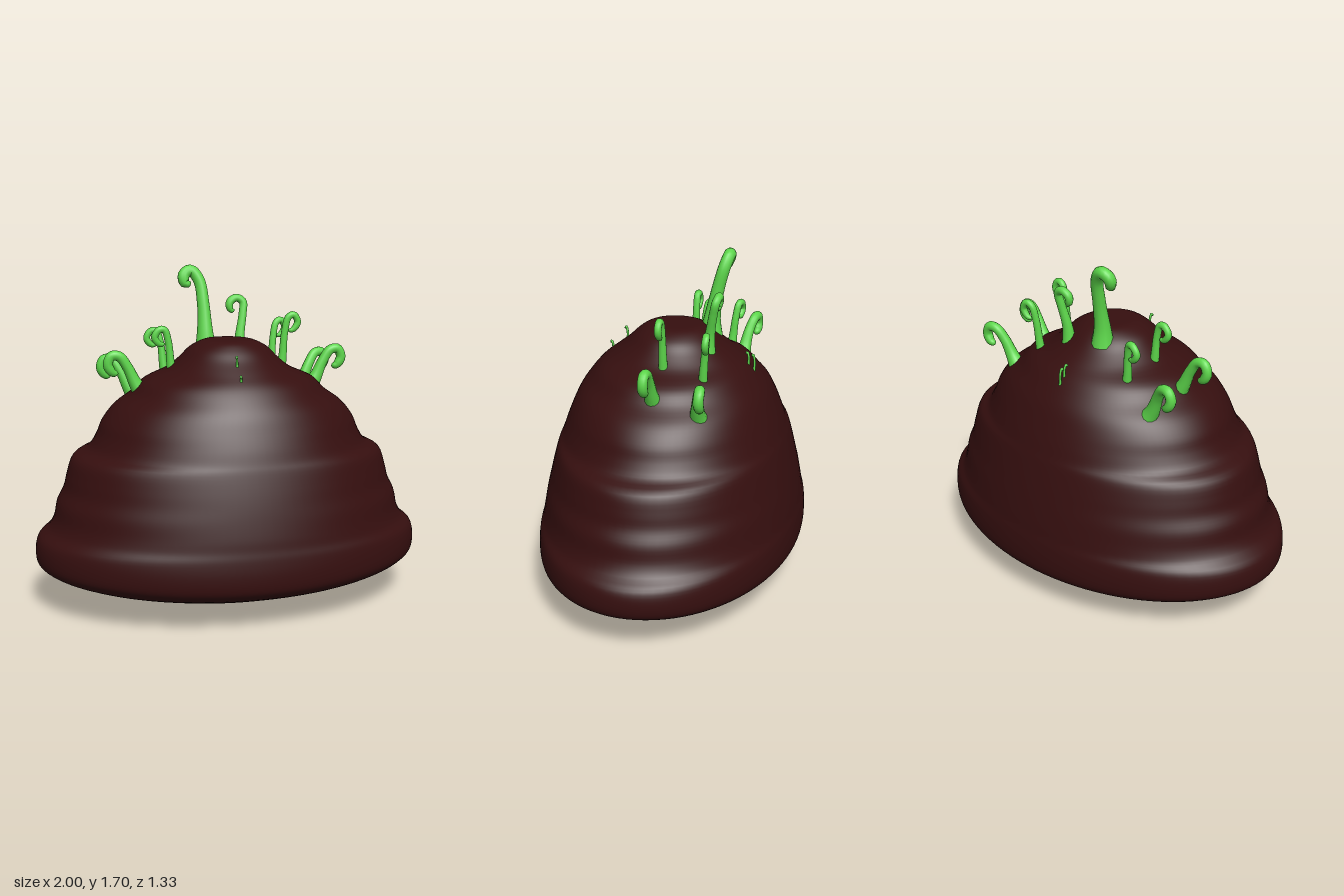
import * as THREE from 'three';
import { mergeVertices } from 'three/addons/utils/BufferGeometryUtils.js';

const skin = new THREE.MeshStandardMaterial({ color: 0x360f0f });
skin.name = 'dark maroon';
const green = new THREE.MeshStandardMaterial({ color: 0x5cd64a });
green.name = 'bright green';

// Elliptical mound: each row is [half width, height, half depth]
function makeBody() {
  const rows = [
    [0, 0, 0], [0.42, 0.045, 0.3], [0.69, 0.105, 0.48], [0.87, 0.16, 0.61],
    [0.95, 0.195, 0.65], [0.99, 0.23, 0.662], [1, 0.29, 0.665], [0.985, 0.36, 0.66],
    [0.93, 0.41, 0.652], [0.903, 0.46, 0.645], [0.885, 0.54, 0.63], [0.85, 0.61, 0.615],
    [0.832, 0.68, 0.598], [0.8, 0.765, 0.575], [0.72, 0.81, 0.56], [0.68, 0.87, 0.54],
    [0.65, 0.94, 0.512], [0.59, 1.015, 0.478], [0.5, 1.08, 0.435], [0.44, 1.14, 0.385],
    [0.32, 1.195, 0.318], [0.25, 1.25, 0.248], [0.2, 1.3, 0.195], [0.13, 1.335, 0.14],
    [0.07, 1.341, 0.075], [0, 1.342, 0],
  ];
  const pts = new THREE.CatmullRomCurve3(rows.map(r => new THREE.Vector3(...r)), false, 'centripetal').getPoints(110);
  const lathe = new THREE.LatheGeometry(pts.map(p => new THREE.Vector2(Math.max(p.x, 0), p.y)), 96);
  const pos = lathe.attributes.position;
  for (let i = 0; i < pos.count; i++) {
    const p = pts[i % pts.length];
    if (p.x > 1e-4) pos.setZ(i, pos.getZ(i) * p.z / p.x);
  }
  lathe.deleteAttribute('uv');
  lathe.deleteAttribute('normal');
  const geo = mergeVertices(lathe, 1e-5);
  geo.computeVertexNormals();
  return geo;
}

// Curled stalk: a tube with a flared root, an even stem and a rounded tip
function makeTendril(points, radius, flare) {
  const curve = new THREE.CatmullRomCurve3(points.map(p => new THREE.Vector3(...p)));
  const segs = 48, sides = 12;
  const geo = new THREE.TubeGeometry(curve, segs, 1, sides, false);
  const pos = geo.attributes.position;
  const v = new THREE.Vector3();
  for (let i = 0; i <= segs; i++) {
    const t = i / segs;
    const c = curve.getPointAt(t);
    const tip = Math.sqrt(Math.max(0, 1 - Math.pow(Math.max(0, (t - 0.85) / 0.15), 2)));
    const r = (radius + (flare - radius) * Math.pow(1 - t, 5)) * tip;
    for (let j = 0; j <= sides; j++) {
      const k = i * (sides + 1) + j;
      v.fromBufferAttribute(pos, k).sub(c).multiplyScalar(r).add(c);
      pos.setXYZ(k, v.x, v.y, v.z);
    }
  }
  geo.deleteAttribute('uv');
  geo.deleteAttribute('normal');
  const merged = mergeVertices(geo, 1e-5);
  merged.computeVertexNormals();
  return merged;
}

export function createModel() {
  const model = new THREE.Group();
  model.name = 'tendrilledMound';
  const add = (name, geo, mat) => {
    const mesh = new THREE.Mesh(geo, mat);
    mesh.name = name;
    model.add(mesh);
  };
  add('body', makeBody(), skin);

  // Two crown tendrils, both curling toward -x
  add('tallTendril', makeTendril([
    [-0.08, 1.27, -0.16], [-0.082, 1.36, -0.165], [-0.085, 1.5, -0.19], [-0.1, 1.62, -0.22],
    [-0.14, 1.672, -0.235], [-0.18, 1.65, -0.225], [-0.175, 1.605, -0.21], [-0.145, 1.615, -0.205],
  ], 0.031, 0.06), green);
  add('shortCrownTendril', makeTendril([
    [0.11, 1.22, -0.195], [0.115, 1.33, -0.205], [0.135, 1.44, -0.225], [0.14, 1.505, -0.24],
    [0.105, 1.525, -0.245], [0.068, 1.5, -0.24], [0.075, 1.46, -0.235], [0.095, 1.465, -0.235],
  ], 0.021, 0.042), green);

  // Side tendrils curl outward: two rows deep, mirrored left and right
  for (const s of [1, -1]) {
    const side = s > 0 ? 'left' : 'right';
    const inner = s > 0 ? 0 : -0.06;
    for (const [row, z, lean, drop] of [['Middle', -0.02, 0, 0], ['Rear', -0.215, -0.035, 0.05]]) {
      add(side + row + 'InnerTendril', makeTendril([
        [0.28, 1.12, 0], [0.295, 1.24, 0.2], [0.305, 1.36, 0.5], [0.325, 1.44, 0.8],
        [0.352, 1.452, 1], [0.375, 1.415, 1], [0.35, 1.375, 0.9], [0.32, 1.37, 0.8],
      ].map(([x, y, k]) => [s * x, y + inner * k - drop * (s > 0 ? 1 : 0.6), z + lean * k]), 0.018, 0.034), green);
    }
    for (const [row, z, lean, drop] of [['Middle', -0.02, 0, 0], ['Rear', -0.24, -0.045, 0.05]]) {
      add(side + row + 'OuterTendril', makeTendril([
        [0.43, 1.05, 0], [0.475, 1.125, 0.1], [0.515, 1.21, 0.4], [0.555, 1.265, 0.8],
        [0.595, 1.268, 1], [0.613, 1.225, 1], [0.59, 1.185, 1], [0.56, 1.18, 0.9],
      ].map(([x, y, k]) => [s * x, y - drop, z + lean * k]), 0.025, 0.055), green);
    }
  }

  // Tiny sprouts at the front and back of the crown
  for (const [y, z, h] of [[1.225, 0.265, 0.06], [1.15, 0.345, 0.05], [1.16, -0.37, 0.05], [1.13, -0.4, 0.07]]) {
    add('sprout', makeTendril([
      [-0.02, y - 0.02, z], [-0.022, y + h * 0.6, z], [-0.025, y + h, z + 0.008], [-0.028, y + h * 0.8, z + 0.016],
    ], 0.006, 0.008), green);
  }
  return model;
}
